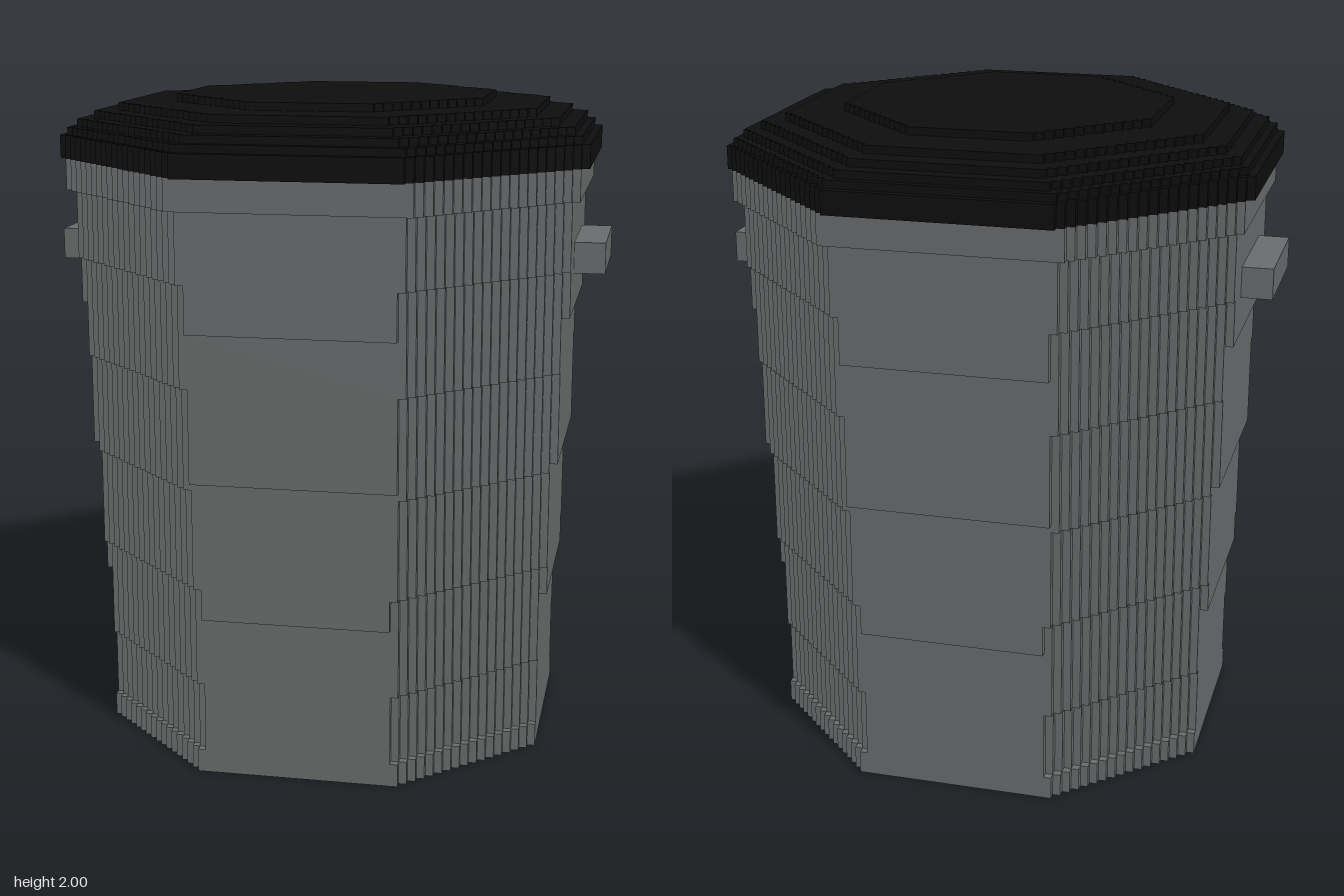
import * as THREE from 'three';

const V = 2 / 85; // size of one block unit

// Octagon outline with stair-stepped diagonals: half width a, corners on |x| + |z| = s
function steppedOctagon(a, s) {
  const corner = [];
  for (let x = s - a; x <= a; x++) {
    corner.push([x, s - x]);
    if (x < a) corner.push([x, s - x - 1]);
  }
  corner.reverse(); // counter-clockwise, from the side to the top
  const pts = [];
  for (let q = 0; q < 4; q++) {
    for (const [x, y] of corner) {
      const [px, py] = [[x, y], [-y, x], [-x, -y], [y, -x]][q];
      pts.push(new THREE.Vector2(px * V, py * V));
    }
  }
  return new THREE.Shape(pts);
}

// Stack of layers, each [bottom, top, half width, diagonal sum] in block units
function stack(name, layers, material) {
  const group = new THREE.Group();
  group.name = name;
  layers.forEach(([y0, y1, a, s], i) => {
    const geo = new THREE.ExtrudeGeometry(steppedOctagon(a, s), { depth: (y1 - y0) * V, bevelEnabled: false });
    geo.rotateX(-Math.PI / 2);
    const mesh = new THREE.Mesh(geo, material);
    mesh.name = `${name}Layer${i + 1}`;
    mesh.position.y = y0 * V;
    group.add(mesh);
  });
  return group;
}

export function createModel() {
  const model = new THREE.Group();
  model.name = 'trashCan';
  const grey = new THREE.MeshStandardMaterial({ color: 0x6b6d6e });
  grey.name = 'grey body';
  const black = new THREE.MeshStandardMaterial({ color: 0x0e0e0e });
  black.name = 'black lid';

  // Body widening upwards; flat sides and diagonals step out at different heights
  model.add(stack('body', [
    [0, 3, 29, 42],
    [3, 12, 29, 41],
    [12, 21, 29, 42],
    [21, 25, 30, 42],
    [25, 38, 30, 43],
    [38, 39, 30, 44],
    [39, 51, 31, 44],
    [51, 58, 31, 45],
    [58, 64, 32, 45],
    [64, 73, 32, 46],
    [73, 77, 33, 48],
  ], grey));

  // Domed lid in shrinking steps
  model.add(stack('lid', [
    [77, 80, 34, 48],
    [80, 81, 33, 47],
    [81, 82, 32, 45],
    [82, 83, 30, 42],
    [83, 84, 27, 38],
    [84, 85, 20, 28],
  ], black));

  // Side handles
  for (const side of [1, -1]) {
    const handle = new THREE.Mesh(new THREE.BoxGeometry(5 * V, 4 * V, 16 * V), grey);
    handle.name = side > 0 ? 'leftHandle' : 'rightHandle';
    handle.position.set(side * 33.5 * V, 65 * V, 0);
    model.add(handle);
  }
  return model;
}
